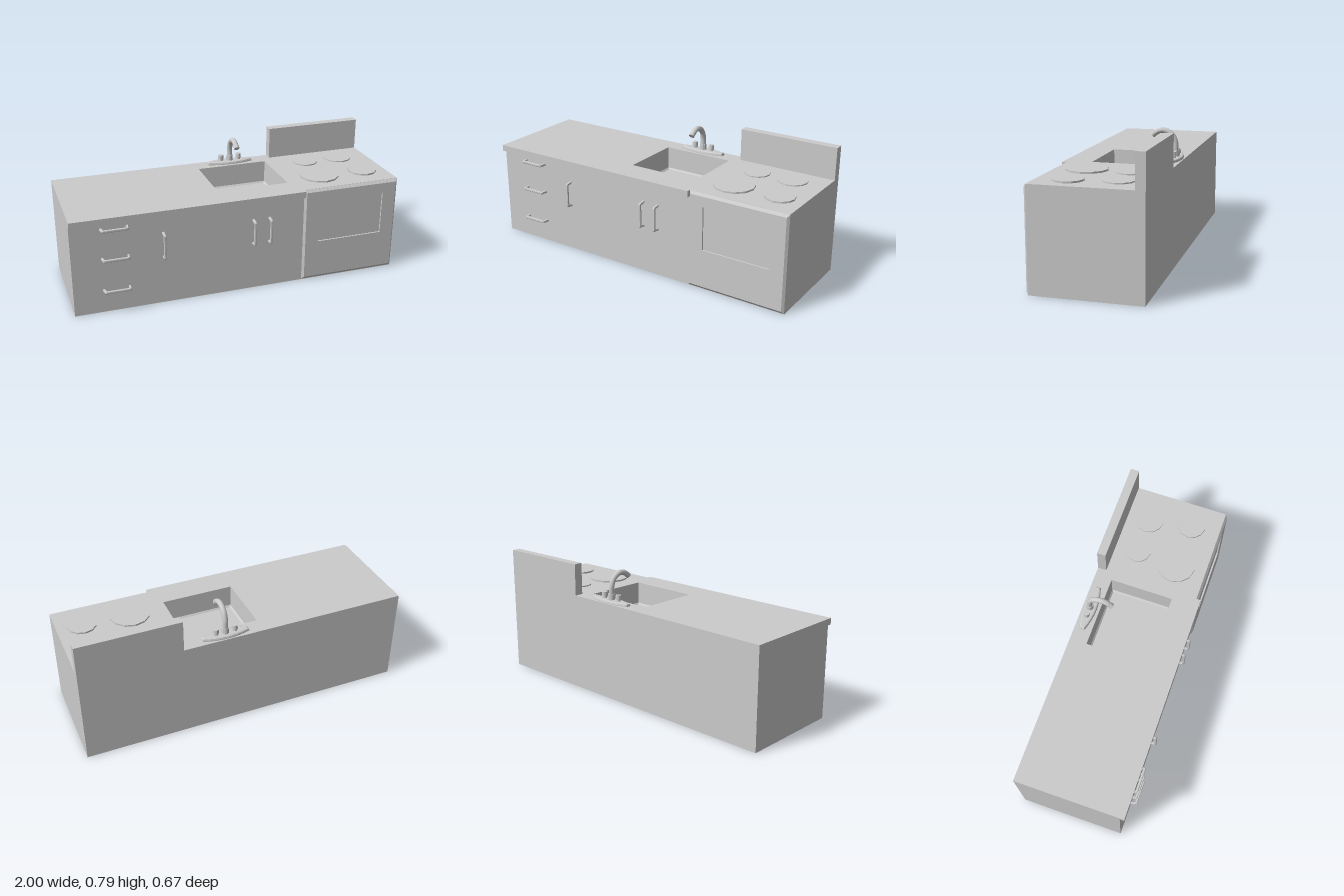
import * as THREE from 'three';

const grey = new THREE.MeshStandardMaterial({ color: 0xcccccc, flatShading: true });
const smooth = new THREE.MeshStandardMaterial({ color: 0xcccccc });

function add(parent, name, geometry, x = 0, y = 0, z = 0, material = grey) {
  const mesh = new THREE.Mesh(geometry, material);
  mesh.name = name;
  mesh.position.set(x, y, z);
  parent.add(mesh);
  return mesh;
}

// Box given by its limits on each axis
function block(parent, name, [x0, x1], [y0, y1], [z0, z1]) {
  return add(parent, name, new THREE.BoxGeometry(x1 - x0, y1 - y0, z1 - z0),
    (x0 + x1) / 2, (y0 + y1) / 2, (z0 + z1) / 2);
}

// Skin through rectangular rings [u0, u1, v0, v1, w]; the last ring may be capped
function rectLoft(rings, cap = true) {
  const pos = [];
  const corners = ([a, b, c, d, w]) => [[a, c, w], [b, c, w], [b, d, w], [a, d, w]];
  const quad = (p, q, r, s) => pos.push(...p, ...q, ...r, ...p, ...r, ...s);
  for (let k = 0; k + 1 < rings.length; k++) {
    const A = corners(rings[k]), B = corners(rings[k + 1]);
    for (let i = 0; i < 4; i++) {
      const j = (i + 1) % 4;
      quad(A[i], A[j], B[j], B[i]);
    }
  }
  if (cap) quad(...corners(rings[rings.length - 1]));
  const g = new THREE.BufferGeometry();
  g.setAttribute('position', new THREE.Float32BufferAttribute(pos, 3));
  g.computeVertexNormals();
  return g;
}

function rectPath(Type, x0, x1, y0, y1) {
  return new Type([[x0, y0], [x1, y0], [x1, y1], [x0, y1]].map(p => new THREE.Vector2(...p)));
}

// Bridge-shaped pull along x, standing out towards +z
function handleGeometry() {
  const pts = [[-0.08, 0], [-0.075, 0.036], [-0.068, 0.041], [0.068, 0.041], [0.075, 0.036], [0.08, 0],
    [0.07, 0], [0.064, 0.031], [-0.064, 0.031], [-0.07, 0]];
  const shape = new THREE.Shape(pts.map(p => new THREE.Vector2(...p)));
  const g = new THREE.ExtrudeGeometry(shape, {
    depth: 0.008, bevelEnabled: true, bevelSize: 0.002, bevelThickness: 0.003, bevelSegments: 1,
  });
  return g.translate(0, 0, -0.004).rotateX(Math.PI / 2);
}

function createCabinet() {
  const cabinet = new THREE.Group();
  cabinet.name = 'cabinet';

  // Carcass, open at the top under the counter
  const body = rectLoft([
    [-0.3, -0.3, 0, 0, 0],
    [-1, 0.39, -0.295, 0.335, 0],
    [-1, 0.39, -0.295, 0.335, 0.556],
  ], false).rotateX(-Math.PI / 2);
  add(cabinet, 'cabinetBody', body);

  // Countertop with the sink opening
  const top = rectPath(THREE.Shape, -1, 0.39, -0.322, 0.335);
  top.holes.push(rectPath(THREE.Path, -0.1, 0.34, -0.155, 0.23));
  add(cabinet, 'countertop',
    new THREE.ExtrudeGeometry(top, { depth: 0.038, bevelEnabled: false }).rotateX(-Math.PI / 2), 0, 0.555, 0);

  // Basin with a chamfered floor edge
  const basin = rectLoft([
    [-0.1, 0.34, -0.155, 0.23, 0.593],
    [-0.097, 0.337, -0.152, 0.227, 0.46],
    [-0.088, 0.328, -0.143, 0.218, 0.45],
  ]).rotateX(-Math.PI / 2);
  add(cabinet, 'sinkBasin', basin);

  // Drawer and door handles
  const pull = handleGeometry();
  for (const y of [0.14, 0.338, 0.52]) add(cabinet, 'drawerHandle', pull, -0.75, y, 0.295);
  for (const x of [-0.47, 0.073, 0.173]) {
    add(cabinet, 'doorHandle', pull, x, 0.371, 0.295).rotation.z = Math.PI / 2;
  }
  return cabinet;
}

function createFaucet() {
  const faucet = new THREE.Group();
  faucet.name = 'faucet';
  faucet.position.set(0.122, 0.593, -0.288);

  // Lens-shaped base plate
  const lens = new THREE.Shape();
  lens.moveTo(-0.133, -0.008);
  lens.quadraticCurveTo(0, -0.053, 0.133, -0.008);
  lens.lineTo(0.133, 0.008);
  lens.quadraticCurveTo(0, 0.053, -0.133, 0.008);
  const plate = new THREE.ExtrudeGeometry(lens, {
    depth: 0.004, bevelEnabled: true, bevelSize: 0.01, bevelThickness: 0.013, bevelSegments: 2, curveSegments: 8,
  });
  add(faucet, 'basePlate', plate.rotateX(-Math.PI / 2));

  // Taps
  for (const s of [-1, 1]) {
    add(faucet, 'tapStem', new THREE.CylinderGeometry(0.012, 0.014, 0.02, 12), s * 0.058, 0.022, 0);
    add(faucet, 'tapKnob', new THREE.CylinderGeometry(0.016, 0.018, 0.026, 12), s * 0.058, 0.041, 0);
  }

  // Collar and curved spout
  add(faucet, 'collar', new THREE.CylinderGeometry(0.02, 0.022, 0.04, 12), 0, 0.032, 0);
  const path = new THREE.CatmullRomCurve3([
    [0.045, 0], [0.1, 0.003], [0.145, 0.025], [0.168, 0.07], [0.162, 0.105], [0.147, 0.128],
  ].map(([y, z]) => new THREE.Vector3(0, y, z)));
  add(faucet, 'spout', new THREE.TubeGeometry(path, 24, 0.0165, 12), 0, 0, 0, smooth);
  const nozzle = add(faucet, 'nozzle', new THREE.CylinderGeometry(0.0165, 0.0175, 0.022, 12), 0, 0.145, 0.132);
  nozzle.rotation.x = -0.85;
  return faucet;
}

function createStove() {
  const stove = new THREE.Group();
  stove.name = 'stove';
  block(stove, 'stoveBody', [0.39, 1], [0, 0.593], [-0.335, 0.295]);
  block(stove, 'backPanel', [0.39, 1], [0.593, 0.787], [-0.335, -0.282]);

  // Bevelled oven door with a recessed window
  add(stove, 'ovenDoor', rectLoft([
    [0.39, 1, 0.003, 0.592, 0.295],
    [0.403, 0.987, 0.019, 0.576, 0.308],
    [0.482, 0.903, 0.25, 0.515, 0.308],
    [0.482, 0.903, 0.25, 0.515, 0.298],
  ]));

  // Burners: x, z, radius, height
  for (const [x, z, r, h] of [
    [0.566, 0.108, 0.12, 0.01], [0.853, 0.116, 0.087, 0.01],
    [0.58, -0.14, 0.077, 0.007], [0.805, -0.144, 0.088, 0.007],
  ]) add(stove, 'burner', new THREE.CylinderGeometry(r, r, h, 12), x, 0.593 + h / 2, z);
  return stove;
}

export function createModel() {
  const model = new THREE.Group();
  model.name = 'kitchenUnit';
  model.add(createCabinet(), createFaucet(), createStove());
  return model;
}
